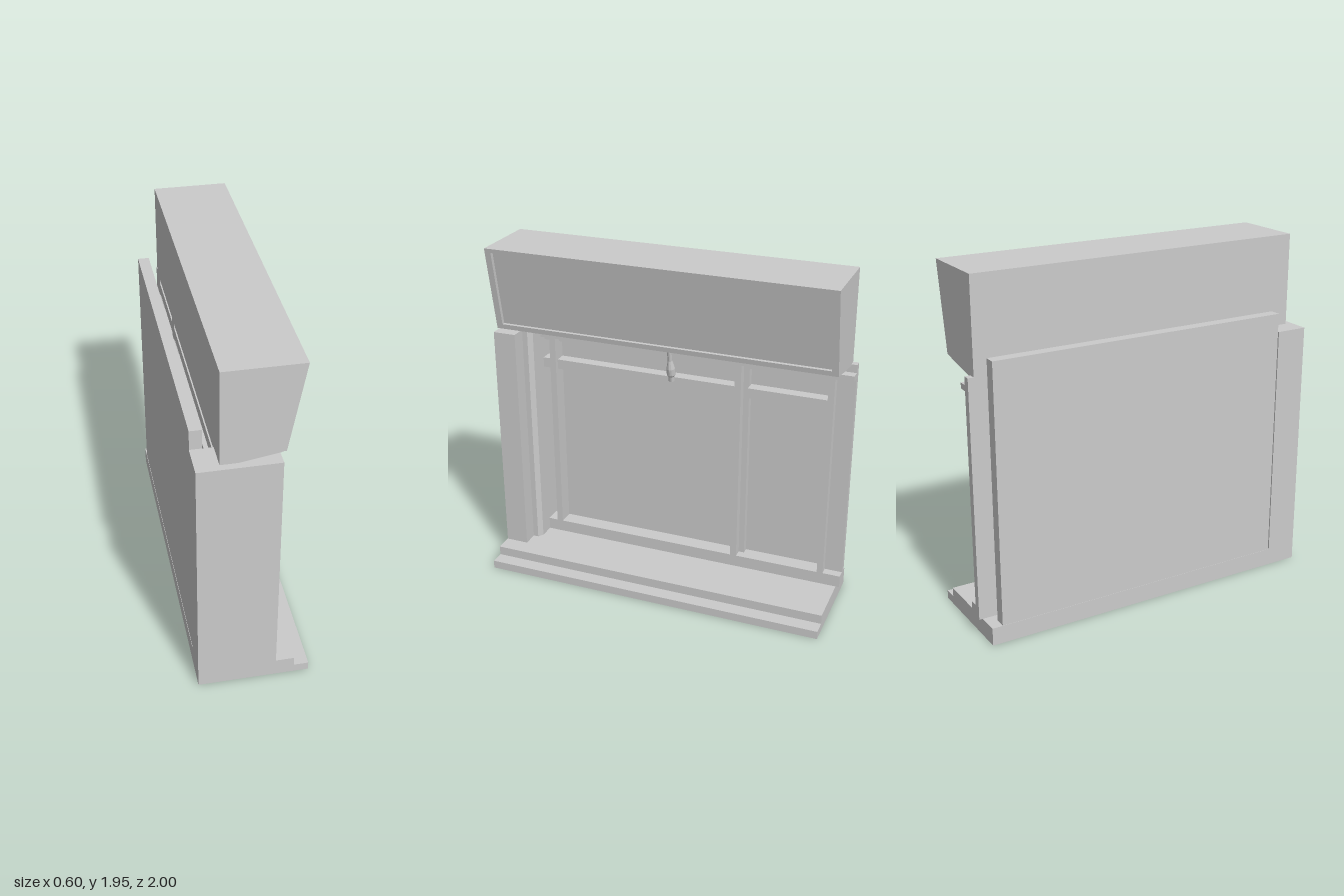
import * as THREE from 'three';

const mat = new THREE.MeshStandardMaterial({ color: 0xcccccc, flatShading: true });

export function createModel() {
  const root = new THREE.Group();

  const add = (name, geo, parent = root) => {
    const m = new THREE.Mesh(geo, mat);
    m.name = name;
    parent.add(m);
    return m;
  };
  // Box given by its extents on each axis
  const box = (name, x0, x1, y0, y1, z0, z1, parent) =>
    add(name, new THREE.BoxGeometry(x1 - x0, y1 - y0, z1 - z0), parent)
      .position.set((x0 + x1) / 2, (y0 + y1) / 2, (z0 + z1) / 2);
  const extrude = (pts, depth) => new THREE.ExtrudeGeometry(
    new THREE.Shape(pts.map(p => new THREE.Vector2(...p))), { depth, bevelEnabled: false });
  // Profile in x,y extended along z
  const prism = (name, pts, z0, z1, parent) =>
    add(name, extrude(pts, z1 - z0).translate(0, 0, z0), parent);

  // Stepped base
  box('baseSlab', -0.3, 0.3, 0, 0.047, -0.98, 1);
  box('baseStep', -0.3, 0.22, 0.047, 0.1, -0.98, 1);

  // Side pillar with a stepped, chamfered inner jamb (plan is x, z)
  const plan = [[-0.3, 1], [0.12, 1], [0.12, 0.87], [0.03, 0.87], [0.03, 0.84],
    [0, 0.82], [-0.3, 0.82]];
  add('sidePillar', extrude(plan.map(([x, z]) => [x, -z]), 1.335)
    .rotateX(-Math.PI / 2).translate(0, 0.1, 0));

  // Tall back wall panel
  box('backPanel', -0.298, -0.235, 0.1, 1.54, -0.92, 0.815);

  // Window frame: rear layer and projecting front layer
  const frame = new THREE.Group();
  frame.name = 'windowFrame';
  root.add(frame);
  const back = -0.18, mid = -0.14, front = -0.09;
  box('bottomRail', back, front, 0.1, 0.17, -1, 0.82, frame);
  box('topRail', back, front, 1.358, 1.39, -1, 0.82, frame);
  for (const [zRear, z0, z1, top] of [
    [0.73, 0.73, 0.765, 1.358],
    [-0.417, -0.385, -0.348, 1.435],
    [-1, -0.9, -0.866, 1.435],
  ]) {
    box('rearPost', back, mid, 0.17, top, zRear, z1, frame);
    box('frontPost', mid, front, 0.17, 1.358, z0, z1, frame);
  }
  for (const [z0, z1] of [[0.765, 0.82], [-0.348, 0.73], [-0.866, -0.417]]) {
    box('headRail', back, mid, 1.326, 1.358, z0, z1, frame);
    box('transom', back, -0.115, 1.165, 1.222, z0, z1, frame);
  }

  // Overhanging sign box with a shallow recessed front
  const sign = new THREE.Group();
  sign.name = 'signBox';
  root.add(sign);
  const faceX = y => 0.14 + (y - 1.472) * 0.0875 / 0.478;
  const depth = 0.022;
  const bar = (y0, y1) => [[faceX(y0) - depth, y0], [faceX(y0), y0],
    [faceX(y1), y1], [faceX(y1) - depth, y1]];
  const z0 = -0.968, z1 = 0.962;
  prism('signBody', [[-0.18, 1.42], [0.14 - depth, 1.4685], [faceX(1.95) - depth, 1.95],
    [-0.18, 1.95]], z0, z1, sign);
  prism('signBottomRim', bar(1.472, 1.5), z0, z1, sign);
  prism('signTopRim', bar(1.928, 1.95), z0, z1, sign);
  prism('signSideRim', bar(1.5, 1.928), z0, -0.933, sign);
  prism('signSideRim', bar(1.5, 1.928), 0.927, z1, sign);

  // Small hanging spotlight under the sign
  const lamp = new THREE.Group();
  lamp.name = 'spotlight';
  lamp.position.set(-0.03, 1.435, 0.01);
  root.add(lamp);
  add('lampPlate', new THREE.CylinderGeometry(0.05, 0.05, 0.016, 16), lamp);
  const arm = new THREE.Group();
  arm.name = 'lampArm';
  arm.rotation.z = -0.2;
  lamp.add(arm);
  const profile = [[0, 0], [0.013, 0], [0.013, -0.09], [0.024, -0.14], [0.024, -0.18],
    [0.017, -0.19], [0.017, -0.22], [0, -0.22]].reverse();
  add('lampHead', new THREE.LatheGeometry(profile.map(p => new THREE.Vector2(...p)), 12), arm);

  return root;
}
